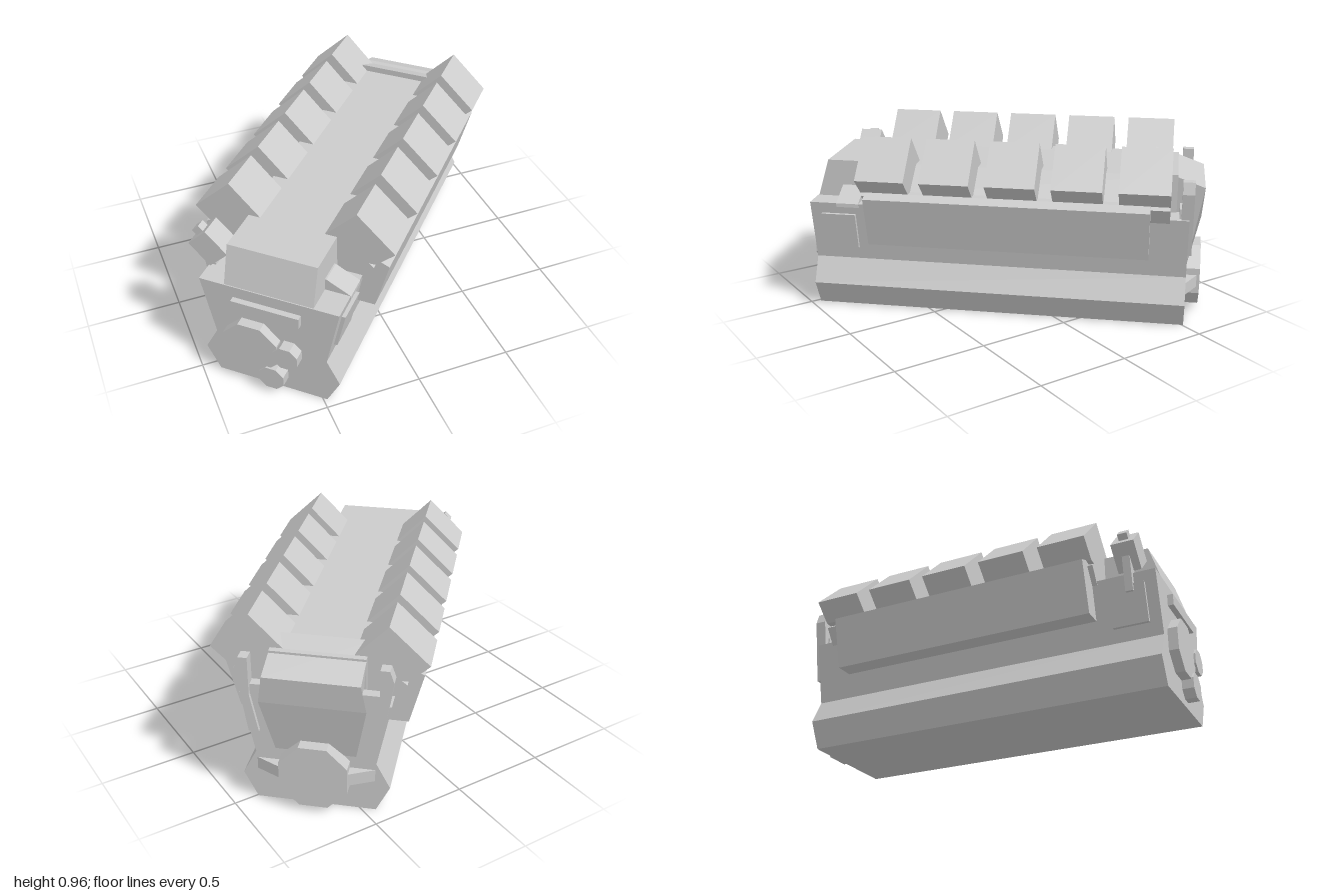
import * as THREE from 'three';

const mat = new THREE.MeshStandardMaterial({ color: 0xcccccc, flatShading: true });

export function createModel() {
  const root = new THREE.Group();
  const engine = new THREE.Group();
  engine.name = 'engine';
  engine.rotation.y = -0.749; // the engine stands diagonally
  root.add(engine);

  const add = (name, geo) => {
    const mesh = new THREE.Mesh(geo, mat);
    mesh.name = name;
    engine.add(mesh);
    return mesh;
  };
  const shape = (pts) => new THREE.Shape(pts.map(([a, b]) => new THREE.Vector2(a, b)));
  const extrude = (pts, depth) =>
    new THREE.ExtrudeGeometry(shape(pts), { depth, bevelEnabled: false });

  // Cross-section in (x, y), run lengthwise from z0 to z1
  const prism = (name, pts, z0, z1, side = 1) =>
    add(name, extrude(pts.map(([x, y]) => [x * side, y]), z1 - z0).translate(0, 0, z0));
  // Side profile in (z, y), run across the width
  const across = (pts, halfWidth) =>
    extrude(pts, 2 * halfWidth).translate(0, 0, -halfWidth).rotateY(-Math.PI / 2);
  // Eight-sided disc with flats at top and sides, facing along z
  const disc = (name, x, y, r, z0, z1) => {
    const geo = new THREE.CylinderGeometry(r, r, z1 - z0, 8).rotateY(Math.PI / 8).rotateX(Math.PI / 2);
    return add(name, geo.translate(x, y, (z0 + z1) / 2));
  };
  const box = (name, w, h, d, x, y, z) => add(name, new THREE.BoxGeometry(w, h, d).translate(x, y, z));

  // Waisted crankcase
  prism('crankcase', [
    [-0.295, 0], [0.295, 0], [0.363, 0.138], [0.295, 0.27], [0.363, 0.6],
    [-0.363, 0.6], [-0.295, 0.27], [-0.363, 0.138],
  ], -0.965, 1.025);

  // Raised deck with sloped front
  add('deck', across([[1.02, 0.58], [1.02, 0.6], [0.958, 0.8], [-0.9, 0.8], [-0.9, 0.58]], 0.232));

  // Rear housing with sloped roof, narrowing toward its foot
  const housing = across([
    [-0.775, 0.834], [-0.775, 0.33], [-0.965, 0.3], [-1.025, 0.594], [-1.04, 0.738],
  ], 0.232);
  const p = housing.attributes.position;
  for (let i = 0; i < p.count; i++) {
    const y = p.getY(i);
    p.setX(i, p.getX(i) * (y < 0.4 ? 0.85 : y < 0.65 ? 1.1 : 1));
  }
  housing.computeVertexNormals();
  add('rearHousing', housing);

  for (const side of [1, -1]) {
    // Sloping bank under the cylinder heads
    prism('cylinderBank', [[0.2, 0.58], [0.36, 0.58], [0.42, 0.665], [0.25, 0.8], [0.2, 0.8]],
      -0.868, 0.722, side);
    // Five tilted cylinder heads
    for (let i = 0; i < 5; i++) {
      const z = 0.722 - i * 0.334;
      prism('cylinderHead', [[0.33, 0.963], [0.525, 0.777], [0.43, 0.688], [0.3, 0.68], [0.17, 0.8]],
        z - 0.254, z, side);
    }
    // Long manifold panel on the flank
    prism('manifoldPanel', [[0.28, 0.4], [0.42, 0.4], [0.49, 0.668], [0.436, 0.69], [0.33, 0.69]],
      -0.77, 0.695, side);
    // Small cover plate near the front
    prism('coverPlate', [[0.28, 0.34], [0.327, 0.34], [0.37, 0.54], [0.32, 0.54]], 0.78, 0.965, side);
    // Rear side pipe
    prism('rearPipe', [[0.27, 0.4], [0.32, 0.4], [0.375, 0.74], [0.355, 0.8], [0.31, 0.8], [0.31, 0.6]],
      -0.985, -0.925, side);
    prism('rearPipeArm', [[0.2, 0.6], [0.33, 0.6], [0.33, 0.65], [0.2, 0.65]], -0.965, -0.915, side);
    // Gusset beside the flywheel
    add('flywheelGusset', extrude([[0.1 * side, 0.95], [0.29 * side, 0.95], [0.29 * side, 0.965],
      [0.165 * side, 1.025], [0.1 * side, 1.025]], 0.065).rotateX(-Math.PI / 2).translate(0, 0.17, 0));
  }

  // Wedge on the left front ledge
  prism('ledgeWedge', [[0.2, 0.58], [0.365, 0.58], [0.365, 0.6], [0.24, 0.665], [0.2, 0.665]], 0.76, 0.88);

  // Tilted filler box with a stud and post on the right front ledge
  prism('fillerBox', [[0.35, 0.832], [0.447, 0.735], [0.34, 0.625], [0.24, 0.722]], 0.83, 0.95, -1);
  const stud = box('fillerStud', 0.05, 0.05, 0.05, 0, 0, 0);
  stud.position.set(-0.405, 0.79, 0.89);
  stud.rotation.z = Math.PI / 4;
  prism('fillerPost', [[0.32, 0.5], [0.375, 0.5], [0.4, 0.7], [0.34, 0.7]], 0.87, 0.91, -1);

  // Rear flywheel and front pulleys
  disc('flywheel', 0, 0.202, 0.181, -1.04, -0.95);
  disc('mainPulley', -0.09, 0.268, 0.155, 1.0, 1.075);
  disc('upperPulley', 0.1, 0.27, 0.07, 1.0, 1.085);
  disc('lowerPulley', 0.02, 0.105, 0.072, 1.0, 1.085);
  box('frontBar', 0.355, 0.06, 0.05, -0.01, 0.505, 1.03);

  return root;
}
